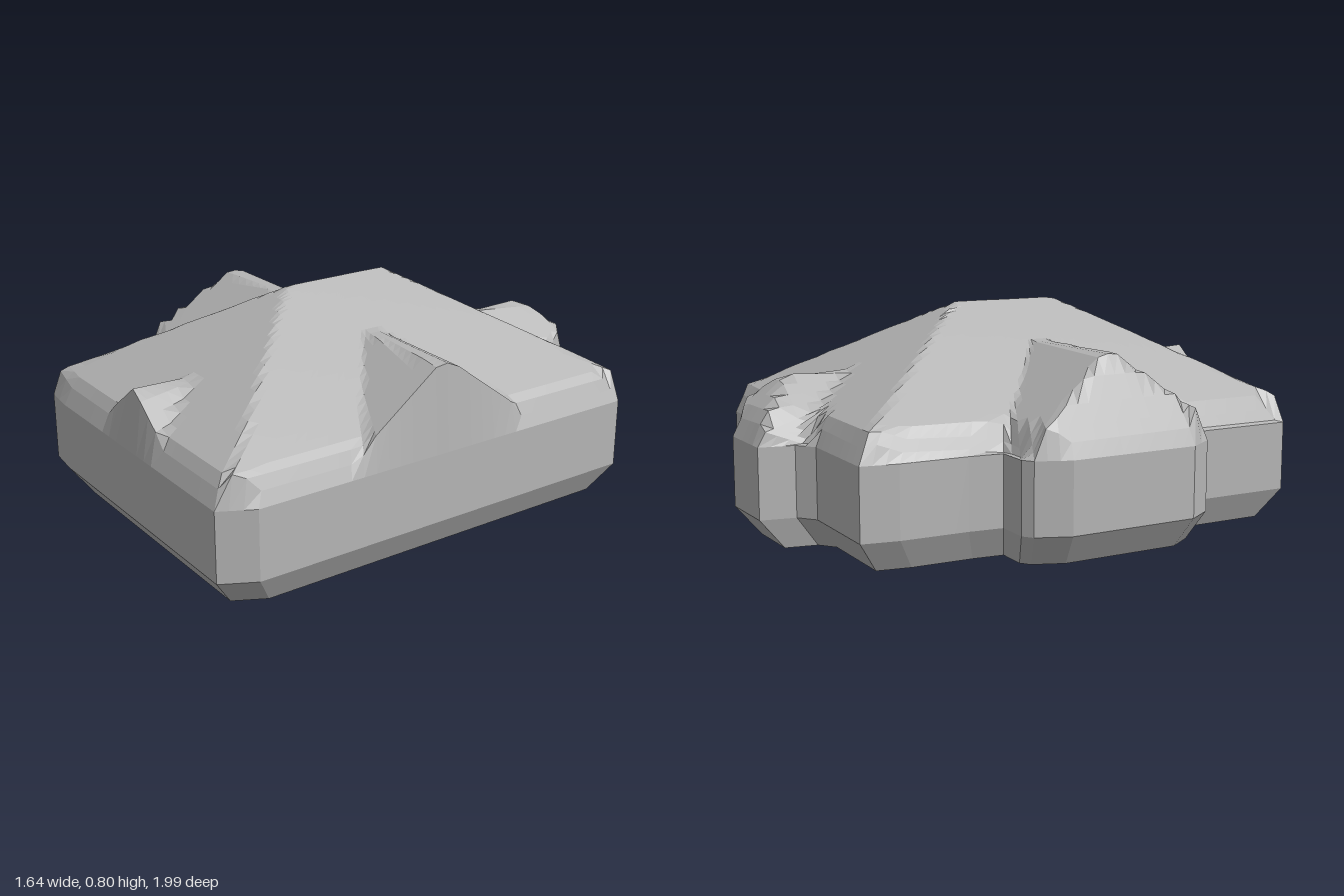
import * as THREE from 'three';

// Ground plan as [x, z], counter-clockwise from above, starting at the front left corner
const PLAN = [
  [0.52, 0.99], [0.60, 0.88], [0.82, -0.65], [0.76, -0.72], [0.48, -0.77], [0.41, -0.80],
  [0.385, -0.88], [0.29, -0.97], [0.05, -1.0], [0.01, -0.88], [-0.06, -0.84], [-0.42, -0.895],
  [-0.46, -0.77], [-0.50, -0.53], [-0.53, -0.41], [-0.65, -0.43], [-0.69, -0.41], [-0.755, -0.30],
  [-0.82, 0.18], [-0.77, 0.29], [-0.65, 0.35], [-0.64, 0.42], [-0.69, 0.77], [-0.65, 0.81], [-0.53, 0.84],
];
const CENTRE = [0.04, 0.03];
const WALL_TOP = 0.36;

// Split the long sides of the plan into short steps
function subdivide(points, step) {
  const out = [];
  points.forEach(([x, z], i) => {
    const [nx, nz] = points[(i + 1) % points.length];
    const n = Math.max(1, Math.round(Math.hypot(nx - x, nz - z) / step));
    for (let k = 0; k < n; k++) out.push([x + (nx - x) * k / n, z + (nz - z) * k / n]);
  });
  return out;
}

// Height at distance d inside an eave: a steep shoulder, then the pitch
const pitch = (d, slope) => Math.min(WALL_TOP + 2.1 * d, 0.46 + slope * (d - 0.05));

// Hipped main roof with a side wing and a small back bay, on axes turned 8 degrees
function roofHeight(x, z) {
  const u = 0.99 * x + 0.14 * z, v = -0.14 * x + 0.99 * z;
  const main = Math.min(0.81, pitch(0.72 - u, 0.55), pitch(u + 0.56, 0.62),
    pitch(0.91 - v, 0.55), pitch(v + 0.825, 0.58));
  const wing = Math.min(0.67, pitch(0.36 - Math.abs(v - 0.05), 0.75), pitch(u + 0.79, 1.9));
  const bay = Math.min(0.58, pitch(0.21 - Math.abs(u - 0.1), 0.75), pitch(v + 1.0, 0.9));
  return Math.max(WALL_TOP, main, wing, bay);
}

// Skin between successive rings; each ring is { t: scale of the plan, y: height or function }
function loft(plan, rings) {
  const pos = [], index = [], n = plan.length;
  for (const { t, y } of rings) {
    for (const [px, pz] of plan) {
      const x = CENTRE[0] + (px - CENTRE[0]) * t, z = CENTRE[1] + (pz - CENTRE[1]) * t;
      pos.push(x, typeof y === 'function' ? y(x, z) : y, z);
    }
  }
  for (let r = 0; r < rings.length - 1; r++) {
    for (let i = 0; i < n; i++) {
      const j = (i + 1) % n, a = r * n + i, b = r * n + j, c = a + n, d = b + n;
      if (rings[r].t > 0) index.push(a, b, d);
      if (rings[r + 1].t > 0) index.push(a, d, c);
    }
  }
  const g = new THREE.BufferGeometry();
  g.setAttribute('position', new THREE.Float32BufferAttribute(pos, 3));
  g.setIndex(index);
  g.computeVertexNormals();
  return g;
}

export function createModel() {
  const group = new THREE.Group();
  group.name = 'house';
  const stone = new THREE.MeshStandardMaterial({ color: 0xb4b4b4, flatShading: true });
  stone.name = 'grey stone';
  const plan = subdivide(PLAN, 0.05);
  const add = (name, rings) => {
    const mesh = new THREE.Mesh(loft(plan, rings), stone);
    mesh.name = name;
    group.add(mesh);
  };

  // Flat underside with a bevelled edge
  add('base', [{ t: 0, y: 0 }, { t: 0.91, y: 0 }, { t: 1, y: 0.11 }]);
  // Upright walls
  add('walls', [{ t: 1, y: 0.11 }, { t: 1, y: WALL_TOP }]);
  // Roof rings close in on the ridge
  const roof = [{ t: 1, y: WALL_TOP }];
  for (const t of [0.97, 0.94, 0.9]) roof.push({ t, y: roofHeight });
  for (let k = 17; k >= 0; k--) roof.push({ t: k / 20, y: roofHeight });
  add('roof', roof);
  return group;
}
